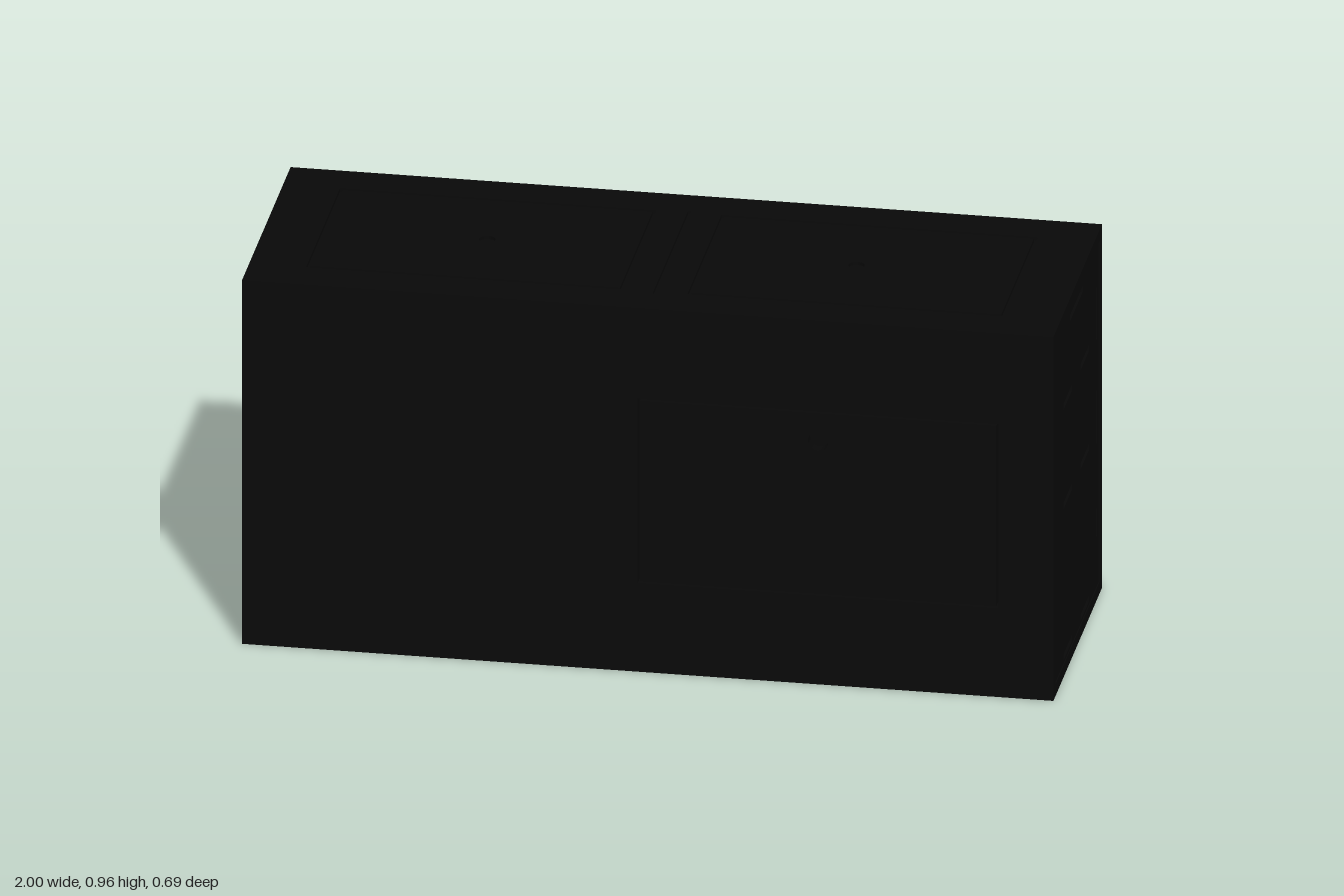
import * as THREE from 'three';

const W = 2, H = 0.965, D = 0.69, T = 0.03;

export function createModel() {
  const black = new THREE.MeshStandardMaterial({ color: 0x080808 });
  black.name = 'black';
  const model = new THREE.Group();
  model.name = 'cabinet';

  const path = (pts, Type = THREE.Path) => new Type(pts.map(p => new THREE.Vector2(...p)));
  const rect = (x, y, w, h) => [[x - w / 2, y - h / 2], [x + w / 2, y - h / 2], [x + w / 2, y + h / 2], [x - w / 2, y + h / 2]];
  const circle = (x, y, r) => Array.from({ length: 20 }, (_, i) => {
    const a = i / 20 * Math.PI * 2;
    return [x + r * Math.cos(a), y + r * Math.sin(a)];
  });

  // flat plate from an outline and holes; z is its outer face
  function plate(parent, name, outline, holes, depth, z = 0) {
    const shape = path(outline, THREE.Shape);
    shape.holes = holes.map(h => path(h));
    const geo = new THREE.ExtrudeGeometry(shape, { depth, bevelEnabled: false });
    geo.translate(0, 0, z - depth);
    const mesh = new THREE.Mesh(geo, black);
    mesh.name = name;
    parent.add(mesh);
  }
  function wall(name, position, rotation) {
    const g = new THREE.Group();
    g.name = name;
    g.position.set(...position);
    g.rotation.set(...rotation);
    model.add(g);
    return g;
  }
  function box(name, w, h, d, x, y, z) {
    const mesh = new THREE.Mesh(new THREE.BoxGeometry(w, h, d), black);
    mesh.name = name;
    mesh.position.set(x, y, z);
    model.add(mesh);
  }

  // top and bottom, each with two panels outlined by a groove
  const lid = wall('top', [0, H, 0], [-Math.PI / 2, 0, 0]);
  const base = wall('bottom', [0, 0, 0], [Math.PI / 2, 0, 0]);
  for (const g of [lid, base]) {
    const holes = [-0.47, 0.47].map(x => rect(x, 0, 0.78, 0.48));
    holes.push(rect(0, 0, 0.008, 0.5));
    plate(g, 'outerFrame', rect(0, 0, W, D), holes, 0.008);
    plate(g, 'innerSheet', rect(0, 0, W, D), [], T - 0.008, -0.008);
    for (const x of [-0.47, 0.47])
      plate(g, 'panel', rect(x, 0, 0.764, 0.464), g === lid ? [circle(Math.sign(x) * 0.455, 0, 0.02)] : [], 0.008);
  }

  // front with a flush door and small finger hole
  const inH = H - 2 * T, mid = H / 2;
  const front = wall('front', [0, 0, D / 2], [0, 0, 0]);
  plate(front, 'frontPanel', rect(0, mid, W, inH), [rect(0.42, 0.48, 0.89, 0.49)], T);
  plate(front, 'door', rect(0.42, 0.48, 0.878, 0.478), [circle(0.42, 0.645, 0.025)], T);
  plate(front, 'doorBacking', rect(0.42, 0.48, 0.95, 0.55), [], 0.01, -T);

  // back frame with two cross braces left between the cut-outs
  const yT = 0.76, yB = 0.25, yM = (yT + yB) / 2;
  const cutouts = [[[-0.08, yT], [-0.29, yM], [-0.08, yB], [0.08, yB], [0.29, yM], [0.08, yT]]];
  for (const s of [-1, 1]) {
    cutouts.push([[s * 0.3, yT], [s * 0.5, yT], [s * 0.4, 0.635]]);
    cutouts.push([[s * 0.3, yB], [s * 0.5, yB], [s * 0.4, 0.375]]);
    cutouts.push([[s * 0.72, yT], [s * 0.87, yT], [s * 0.87, yB], [s * 0.72, yB], [s * 0.51, yM]]);
  }
  const back = wall('back', [0, 0, -D / 2], [0, Math.PI, 0]);
  plate(back, 'crossBracedFrame', rect(0, mid, W, inH), cutouts, T);

  // left side with slots, right side plain
  const inD = D - 2 * T;
  const slots = [rect(0, 0.905, 0.18, 0.018)];
  for (const y of [0.71, 0.447, 0.045])
    for (const z of [-0.118, 0.125]) slots.push(rect(-z, y, 0.12, 0.018));
  for (const [y, h] of [[0.755, 0.14], [0.48, 0.14], [0.2, 0.075]]) slots.push(rect(0.285, y, 0.016, h));
  const left = wall('leftSide', [W / 2, 0, 0], [0, Math.PI / 2, 0]);
  plate(left, 'slottedPanel', rect(0, mid, inD, inH), slots, 0.02, -0.003);
  const right = wall('rightSide', [-W / 2, 0, 0], [0, -Math.PI / 2, 0]);
  plate(right, 'sidePanel', rect(0, mid, inD, inH), [], T);

  // closed compartment behind the door
  box('compartmentBack', 1.0, inH, 0.02, 0.445, mid, -0.288);
  box('divider', 0.02, inH, 0.59, -0.045, mid, 0.017);
  box('compartmentSide', 0.02, inH, 0.59, 0.935, mid, 0.017);

  return model;
}
